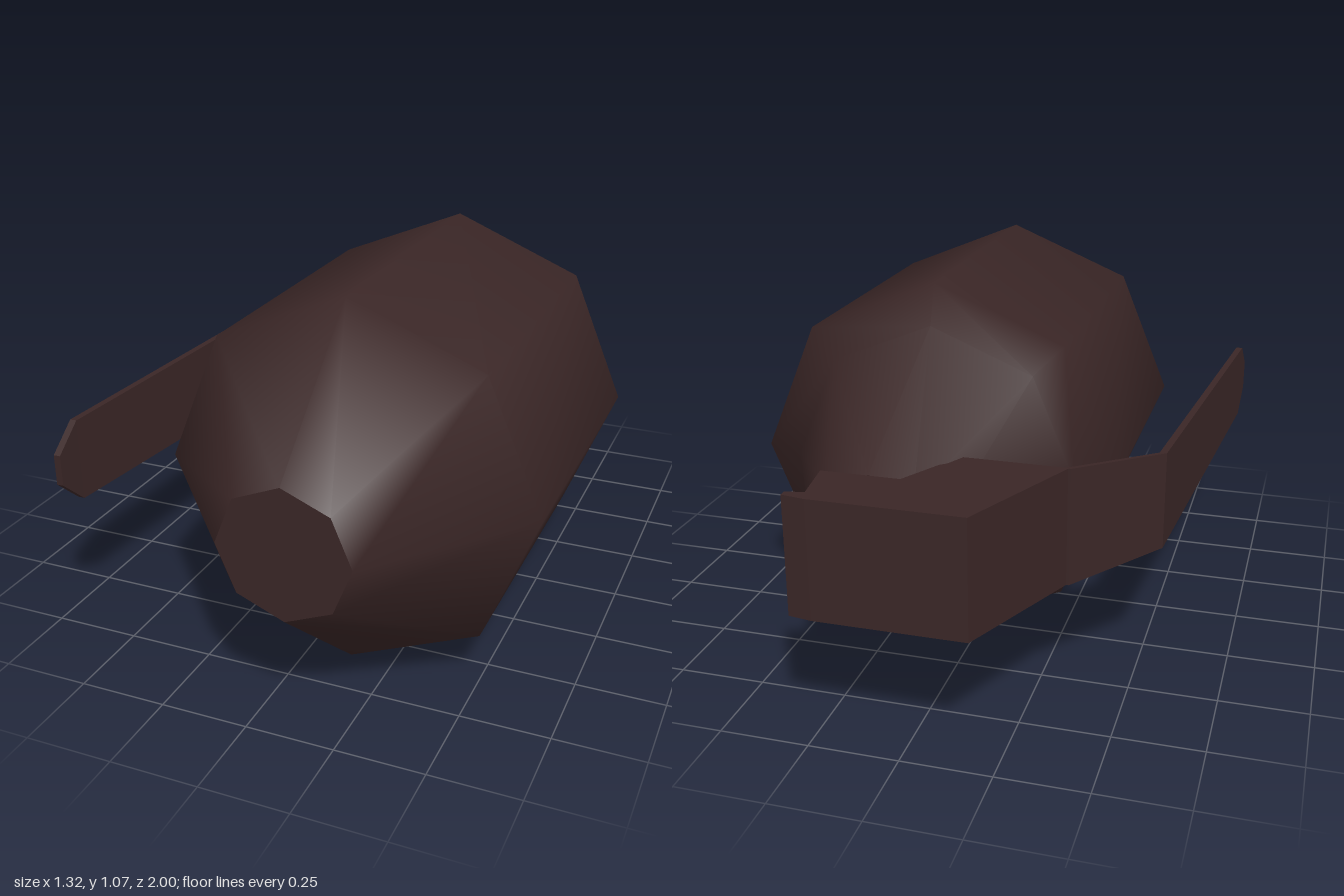
import * as THREE from 'three';

const CX = 0.125, CY = 0.54;

export function createModel() {
  const model = new THREE.Group();
  const smooth = new THREE.MeshStandardMaterial({ color: 0x3a2626 });
  smooth.name = 'darkBrown';

  const add = (name, geometry, parent = model) => {
    const mesh = new THREE.Mesh(geometry, smooth);
    mesh.name = name;
    parent.add(mesh);
    return mesh;
  };

  // Eight-sided body lying along z, with a tapering neck at the back
  const profile = [[0.167, -0.82], [0.42, -0.32], [0.535, -0.28], [0.535, 0.6], [0.185, 1]];
  const body = new THREE.Group();
  body.name = 'body';
  body.position.set(CX, CY, 0);
  model.add(body);
  const shell = new THREE.LatheGeometry(profile.map(([r, z]) => new THREE.Vector2(r, z)), 8);
  shell.rotateX(Math.PI / 2);
  add('bodyShell', shell, body);
  add('frontCap', new THREE.CircleGeometry(0.185, 8).translate(0, 0, 1), body);
  add('neckCap', new THREE.CircleGeometry(0.167, 8).rotateY(Math.PI).translate(0, 0, -0.82), body);

  // Fuse head: an outline in x,z extruded through y
  const outline = [[-0.19, -1], [0.22, -1], [0.285, -0.99], [0.285, -0.97], [0.235, -0.96],
    [0.255, -0.82], [0.04, -0.82], [-0.06, -0.635], [-0.35, -0.635]];
  const headShape = new THREE.Shape(outline.map(([x, z]) => new THREE.Vector2(x, -z)));
  const head = new THREE.ExtrudeGeometry(headShape, { depth: 0.33, bevelEnabled: false });
  head.rotateX(-Math.PI / 2).translate(0, 0.375, 0);
  add('fuseHead', head);

  // Safety lever: bent strip, each section is x, z, half height
  const sections = [[-0.345, -0.64, 0.165], [-0.555, -0.4, 0.14], [-0.647, 0.73, 0.12], [-0.653, 0.81, 0.045]];
  const positions = [];
  const quad = (a, b, c, d) => positions.push(...a, ...b, ...c, ...a, ...c, ...d);
  const t = 0.01;
  const corners = ([x, z, h]) => [
    [x - t, CY - h, z], [x + t, CY - h, z], [x + t, CY + h, z], [x - t, CY + h, z]];
  for (let i = 0; i < sections.length - 1; i++) {
    const a = corners(sections[i]), b = corners(sections[i + 1]);
    for (let k = 0; k < 4; k++) {
      const n = (k + 1) % 4;
      quad(a[k], a[n], b[n], b[k]);
    }
  }
  quad(...corners(sections[0]).reverse());
  quad(...corners(sections[sections.length - 1]));
  const lever = new THREE.BufferGeometry();
  lever.setAttribute('position', new THREE.Float32BufferAttribute(positions, 3));
  lever.computeVertexNormals();
  add('safetyLever', lever);

  return model;
}
